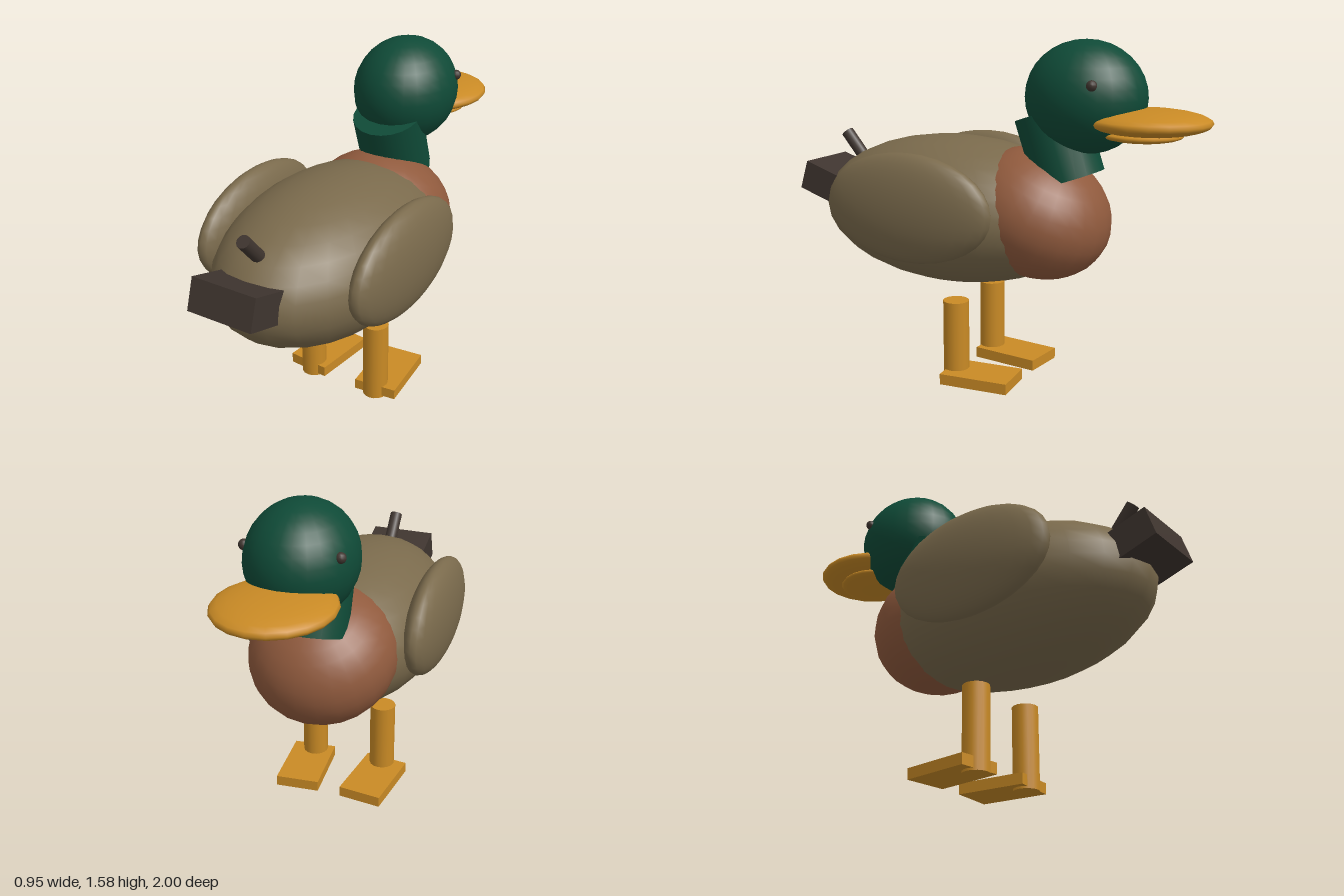
import * as THREE from 'three';

const material = (name, color) => {
  const m = new THREE.MeshStandardMaterial({ color });
  m.name = name;
  return m;
};

export function createModel() {
  const duck = new THREE.Group();
  duck.name = 'duck';

  const brown = material('feather brown', 0x7a6a4c);
  const green = material('head green', 0x0f4a37);
  const chestnut = material('breast chestnut', 0x905a3d);
  const orange = material('bill orange', 0xc98a25);
  const dark = material('dark brown', 0x3f352f);

  const add = (name, geometry, mat, position, tilt = 0, turn = 0) => {
    const mesh = new THREE.Mesh(geometry, mat);
    mesh.name = name;
    mesh.position.set(...position);
    mesh.rotation.set(tilt, turn, 0);
    duck.add(mesh);
    return mesh;
  };

  // Ellipsoid with the given half sizes
  const ellipsoid = (rx, ry, rz, w = 24, h = 16) =>
    new THREE.SphereGeometry(1, w, h).scale(rx, ry, rz);

  // Body, breast, neck and head (the duck looks toward -z)
  add('body', ellipsoid(0.42, 0.34, 0.68), brown, [0, 0.78, 0.2]);
  add('breast', ellipsoid(0.335, 0.283, 0.345), chestnut, [0, 0.8, -0.22], -0.43);
  add('neck', new THREE.CylinderGeometry(0.16, 0.16, 0.31, 20), green, [0, 1.112, -0.324], 0.33);
  add('head', ellipsoid(0.235, 0.245, 0.27), green, [0, 1.33, -0.445]);

  // Bill
  add('upperBill', ellipsoid(0.25, 0.056, 0.27, 20, 12), orange, [0, 1.24, -0.73]);
  add('lowerBill', ellipsoid(0.17, 0.03, 0.18, 20, 12), orange, [0, 1.185, -0.7]);

  // Tail block and curled feather
  add('tail', new THREE.BoxGeometry(0.31, 0.142, 0.3), dark, [0, 0.844, 0.832], -0.31);
  add('tailCurl', new THREE.CylinderGeometry(0.03, 0.03, 0.2, 12), dark, [0, 1.015, 0.755], 0.7);

  // Mirrored parts
  for (const [side, s] of [['left', 1], ['right', -1]]) {
    add(side + 'Wing', ellipsoid(0.095, 0.245, 0.417), brown, [s * 0.382, 0.845, 0.228]);
    add(side + 'Eye', new THREE.SphereGeometry(0.023, 12, 8), dark, [s * 0.203, 1.4, -0.555]);
    add(side + 'Leg', new THREE.CylinderGeometry(0.06, 0.06, 0.385, 16), orange, [s * 0.175, 0.1925, 0.105]);
    add(side + 'Foot', new THREE.BoxGeometry(0.205, 0.05, 0.325), orange, [s * 0.174, 0.035, -0.025], 0, s * 0.1);
  }

  return duck;
}
